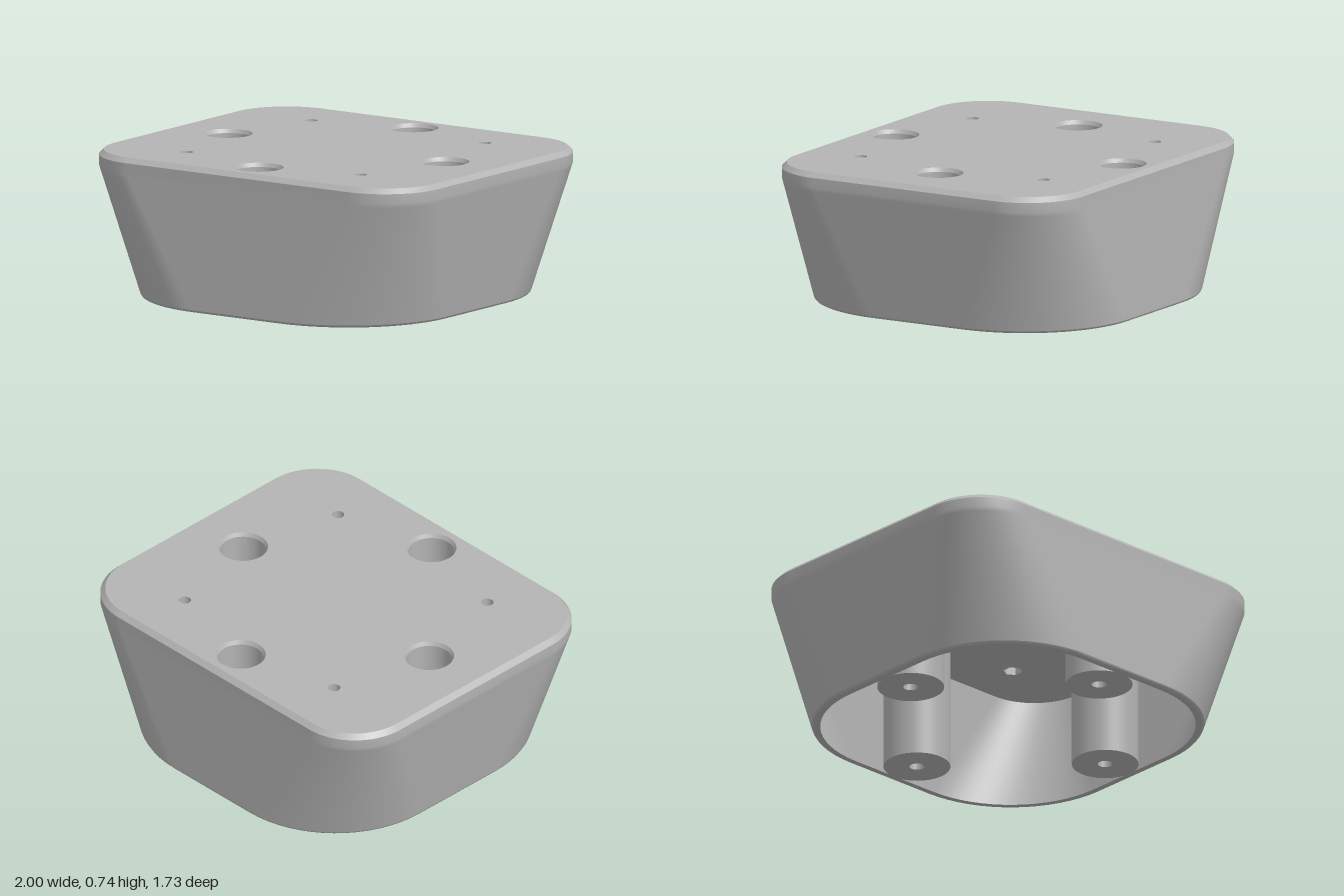
import * as THREE from 'three';
import { mergeGeometries } from 'three/addons/utils/BufferGeometryUtils.js';

const TOP = 0.735, CEILING = 0.65, WALL = 0.04;

// Rounded rectangle outline, anticlockwise from above: [x, -z] pairs
function outline({ hx, hz, r }, steps = 16) {
  const pts = [];
  [[1, 1], [-1, 1], [-1, -1], [1, -1]].forEach(([sx, sz], corner) => {
    for (let i = 0; i <= steps; i++) {
      const a = (corner + i / steps) * Math.PI / 2;
      pts.push([sx * (hx - r) + r * Math.cos(a), sz * (hz - r) + r * Math.sin(a)]);
    }
  });
  return pts;
}

// Body section at a height: square with big corners below, wider above
function section(y, inset = 0) {
  const t = Math.min(y / 0.66, 1);
  return {
    y,
    hx: 0.867 + 0.133 * t - inset,
    hz: 0.865 - 0.014 * t - inset,
    r: 0.6 - 0.28 * t - inset,
  };
}

// Skin between successive sections
function loft(sections) {
  const position = [], index = [];
  let n = 0;
  sections.forEach((s, k) => {
    const pts = outline(s);
    n = pts.length;
    pts.forEach(([x, z]) => position.push(x, s.y, -z));
    if (k === 0) return;
    for (let i = 0; i < n; i++) {
      const j = (i + 1) % n, a = (k - 1) * n, b = k * n;
      index.push(a + i, a + j, b + j, a + i, b + j, b + i);
    }
  });
  const geo = new THREE.BufferGeometry();
  geo.setAttribute('position', new THREE.Float32BufferAttribute(position, 3));
  geo.setIndex(index);
  geo.computeVertexNormals();
  return geo;
}

// Flat plate face with round or polygonal holes
function face(s, holes, sides, up) {
  const shape = new THREE.Shape(outline(s).map(([x, y]) => new THREE.Vector2(x, y)));
  for (const [x, z, r] of holes) {
    const pts = [];
    for (let i = 0; i < sides; i++) {
      const a = i / sides * Math.PI * 2;
      pts.push(new THREE.Vector2(x + r * Math.sin(a), z + r * Math.cos(a)));
    }
    shape.holes.push(new THREE.Path(pts));
  }
  const geo = new THREE.ShapeGeometry(shape);
  geo.rotateX(up ? -Math.PI / 2 : Math.PI / 2);
  return geo.translate(0, s.y, 0);
}

// Turned surface with a sharp edge at each profile point
function turned(profile, sides) {
  const parts = profile.slice(1).map((p, i) =>
    new THREE.LatheGeometry([new THREE.Vector2(...profile[i]), new THREE.Vector2(...p)], sides));
  return mergeGeometries(parts);
}

export function createModel() {
  const model = new THREE.Group();
  const grey = new THREE.MeshStandardMaterial({ color: 0xb4b4b4 });
  grey.name = 'grey plastic';
  const add = (name, geo, x = 0, z = 0) => {
    const mesh = new THREE.Mesh(geo, grey);
    mesh.name = name;
    mesh.position.set(x, 0, z);
    model.add(mesh);
  };

  const posts = [[0.664, 0], [-0.664, 0], [0, 0.664], [0, -0.664]];
  const screws = [[0.533, 0.533], [-0.533, 0.533], [0.533, -0.533], [-0.533, -0.533]];

  // Outer shell
  add('bottomEdge', loft([section(0, 0.01), section(0.004, 0.003), section(0.012)]));
  add('outerWall', loft([section(0.012), section(0.33), section(0.64)]));
  add('upperBand', loft([section(0.64), section(0.66), section(0.71)]));
  add('topChamfer', loft([section(0.71), section(TOP, 0.025)]));
  add('topFace', face(section(TOP, 0.025), [
    ...posts.map(([x, z]) => [x, z, 0.125]),
    ...screws.map(([x, z]) => [x, z, 0.031]),
  ], 48, true));

  // Hollow underside
  add('rim', loft([section(0, WALL), section(0, 0.01)]));
  add('innerWall', loft([section(CEILING, WALL), section(0.33, WALL), section(0, WALL)]));
  add('ceiling', face(section(CEILING, WALL), screws.map(([x, z]) => [x, z, 0.048]), 6, false));

  // Hollow posts, open at the top, with a bolt hole through the floor
  const post = turned([
    [0.037, 0], [0.167, 0], [0.167, CEILING + 0.01],
  ], 48);
  const bore = turned([
    [0.125, TOP], [0.114, TOP - 0.02], [0.114, 0.13], [0.037, 0.13], [0.037, 0],
  ], 48);
  for (const [x, z] of posts) {
    add('post', post, x, z);
    add('postBore', bore, x, z);
  }

  // Small screw holes with six-sided pockets below
  const hole = turned([[0.031, TOP], [0.031, 0.69]], 48);
  const pocket = turned([[0.031, 0.69], [0.048, 0.69], [0.048, CEILING]], 6).toNonIndexed();
  pocket.computeVertexNormals();
  for (const [x, z] of screws) {
    add('screwHole', hole, x, z);
    add('nutPocket', pocket, x, z);
  }
  return model;
}
